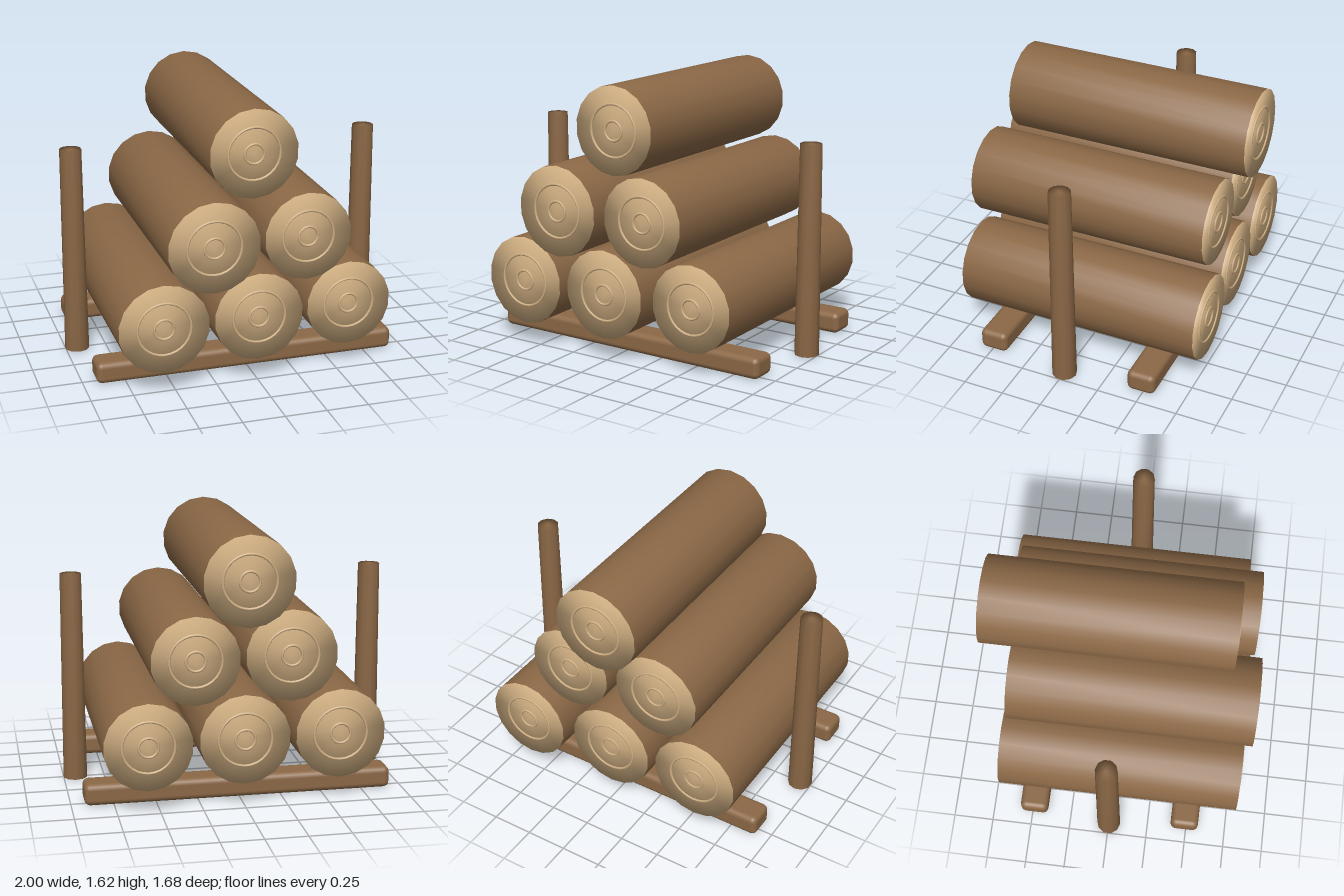
import * as THREE from 'three';
import { mergeVertices } from 'three/addons/utils/BufferGeometryUtils.js';
import { RoundedBoxGeometry } from 'three/addons/geometries/RoundedBoxGeometry.js';

const LOG_LENGTH = 1.5;

// Cylinder whose sides and caps share smoothed normals
function softCylinder(rTop, rBottom, height, sides) {
  let g = new THREE.CylinderGeometry(rTop, rBottom, height, sides);
  g.deleteAttribute('normal');
  g.deleteAttribute('uv');
  g = mergeVertices(g);
  g.computeVertexNormals();
  return g;
}

function addMesh(parent, name, geometry, material, x = 0, y = 0, z = 0) {
  const mesh = new THREE.Mesh(geometry, material);
  mesh.name = name;
  mesh.position.set(x, y, z);
  parent.add(mesh);
  return mesh;
}

export function createModel() {
  const bark = new THREE.MeshStandardMaterial({ color: 0x8b6846 });
  bark.name = 'bark';
  const cutWood = new THREE.MeshStandardMaterial({ color: 0xd2b184 });
  cutWood.name = 'cutWood';

  const model = new THREE.Group();
  model.name = 'logRack';

  // Stacked logs: x, y, centre z, radius
  const logs = [
    [-0.573, 0.408, 0.045, 0.269],
    [0, 0.408, 0.025, 0.268],
    [0.572, 0.408, -0.023, 0.26],
    [-0.286, 0.882, 0.085, 0.272],
    [0.286, 0.882, 0.045, 0.262],
    [0, 1.36, -0.086, 0.265],
  ];
  for (const [x, y, z, r] of logs) {
    const log = new THREE.Group();
    log.name = 'log';
    log.position.set(x, y, z);
    model.add(log);

    const body = softCylinder(r, r, LOG_LENGTH, 18).rotateX(Math.PI / 2);
    addMesh(log, 'logBody', body, [bark, cutWood, cutWood]);

    // Growth rings on both cut ends
    for (const end of [1, -1]) {
      for (const k of [0.22, 0.59]) {
        addMesh(log, 'growthRing', new THREE.TorusGeometry(r * k, 0.008, 6, 28),
          cutWood, 0, 0, end * LOG_LENGTH / 2);
      }
    }
  }

  // Cross skids under the stack
  for (const side of [1, -1]) {
    addMesh(model, 'skid', new RoundedBoxGeometry(1.846, 0.13, 0.176, 3, 0.035),
      bark, 0, 0.068, side * 0.487);
  }

  // Upright side posts
  for (const side of [1, -1]) {
    addMesh(model, 'post', softCylinder(0.066, 0.0745, 1.28, 10),
      bark, side * 0.928, 0.64, 0);
  }

  return model;
}
